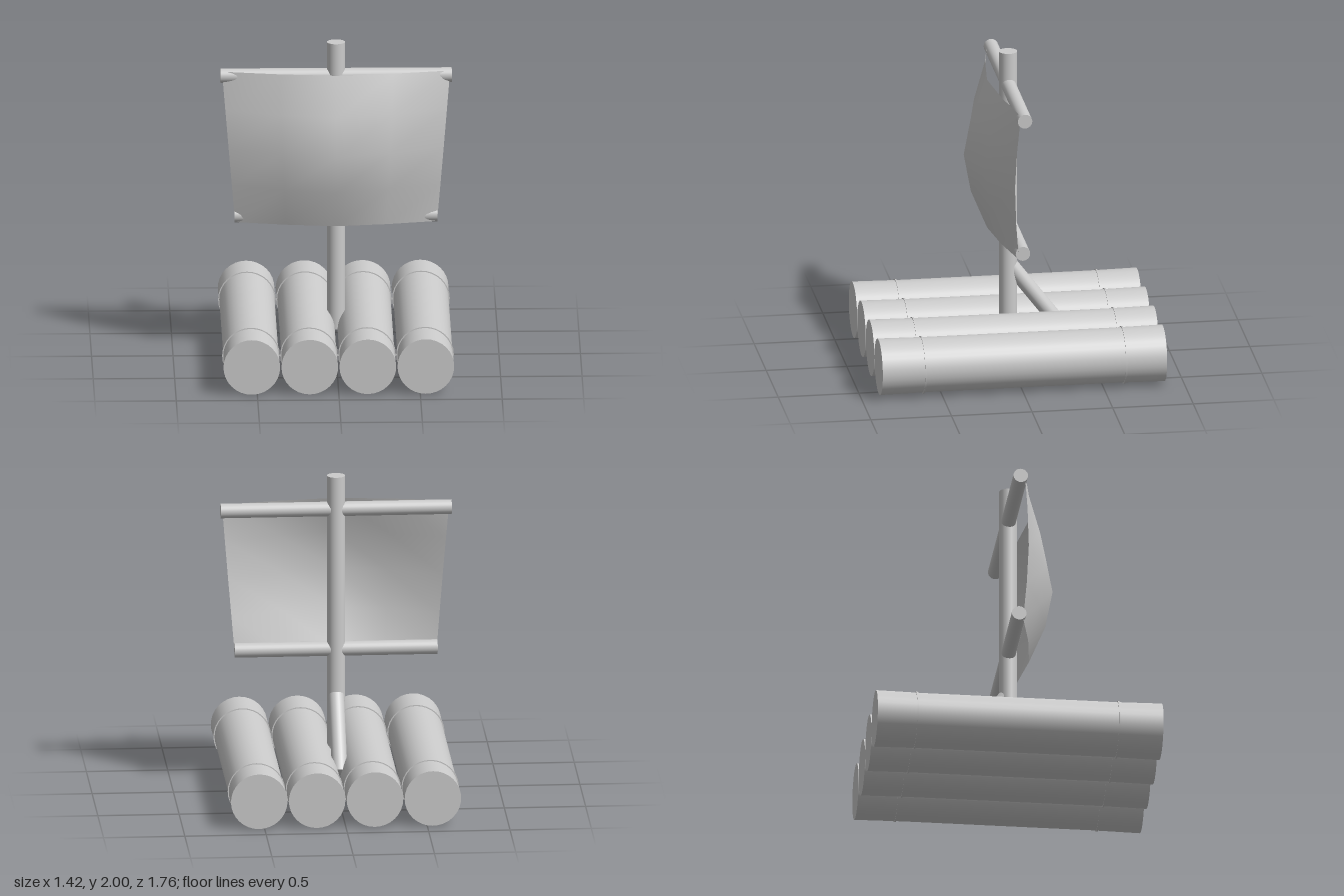
import * as THREE from 'three';

const material = new THREE.MeshStandardMaterial({ color: 0xcccccc });
const sailMaterial = new THREE.MeshStandardMaterial({ color: 0xcccccc, side: THREE.DoubleSide });

// Round pole running between two points
function pole(name, from, to, radius) {
  const a = new THREE.Vector3(...from), b = new THREE.Vector3(...to);
  const dir = b.clone().sub(a);
  const mesh = new THREE.Mesh(new THREE.CylinderGeometry(radius, radius, dir.length(), 24), material);
  mesh.name = name;
  mesh.position.copy(a).add(b).multiplyScalar(0.5);
  mesh.quaternion.setFromUnitVectors(new THREE.Vector3(0, 1, 0), dir.normalize());
  return mesh;
}

// Log that is slightly thicker at both ends, lying along z
function logGeometry() {
  const geo = new THREE.CylinderGeometry(0.174, 0.174, 1.764, 32, 6);
  const pos = geo.attributes.position;
  for (let i = 0; i < pos.count; i++) {
    if (Math.abs(pos.getY(i)) < 0.7) {
      pos.setX(i, pos.getX(i) * 0.975);
      pos.setZ(i, pos.getZ(i) * 0.975);
    }
  }
  return geo.rotateX(Math.PI / 2);
}

// Billowing sail: a 4 x 4 grid, tapering downward and bulging forward
function sailGeometry() {
  const geo = new THREE.PlaneGeometry(2, 2, 4, 4);
  const pos = geo.attributes.position;
  // Depth by distance from the middle row, then by distance from the centre line
  const depth = [
    [0.275, 0.19, 0.055],
    [0.23, 0.16, 0.045],
    [0.13, 0.09, 0.025],
  ];
  for (let i = 0; i < pos.count; i++) {
    const u = pos.getX(i), v = pos.getY(i);
    const row = Math.round(Math.abs(v) * 2), col = Math.round(Math.abs(u) * 2);
    pos.setXYZ(i, u * (0.66 + 0.04 * v), 1.34 + 0.48 * v, depth[row][col]);
  }
  geo.computeVertexNormals();
  return geo;
}

export function createModel() {
  const model = new THREE.Group();

  // Four logs, each with two binding rings
  const logGeo = logGeometry();
  const ringGeo = new THREE.CylinderGeometry(0.177, 0.177, 0.01, 32).rotateX(Math.PI / 2);
  for (let i = 0; i < 4; i++) {
    const raftLog = new THREE.Group();
    raftLog.name = 'raftLog';
    raftLog.position.set((i - 1.5) * 0.356, 0.178, 0);
    const log = new THREE.Mesh(logGeo, material);
    log.name = 'log';
    raftLog.add(log);
    for (const z of [0.613, -0.632]) {
      const ring = new THREE.Mesh(ringGeo, material);
      ring.name = 'bindingRing';
      ring.position.z = z;
      raftLog.add(ring);
    }
    model.add(raftLog);
  }

  // Mast, its rear brace and the two yards
  model.add(
    pole('mast', [0, 0.18, 0], [0, 2, 0], 0.056),
    pole('mastBrace', [0, 0.63, 0], [0, 0.2, -0.328], 0.048),
    pole('upperYard', [-0.71, 1.787, 0], [0.71, 1.787, 0], 0.045),
    pole('lowerYard', [-0.623, 0.897, 0], [0.623, 0.897, 0], 0.045)
  );

  // Sail
  const sail = new THREE.Mesh(sailGeometry(), sailMaterial);
  sail.name = 'sail';
  model.add(sail);

  return model;
}
